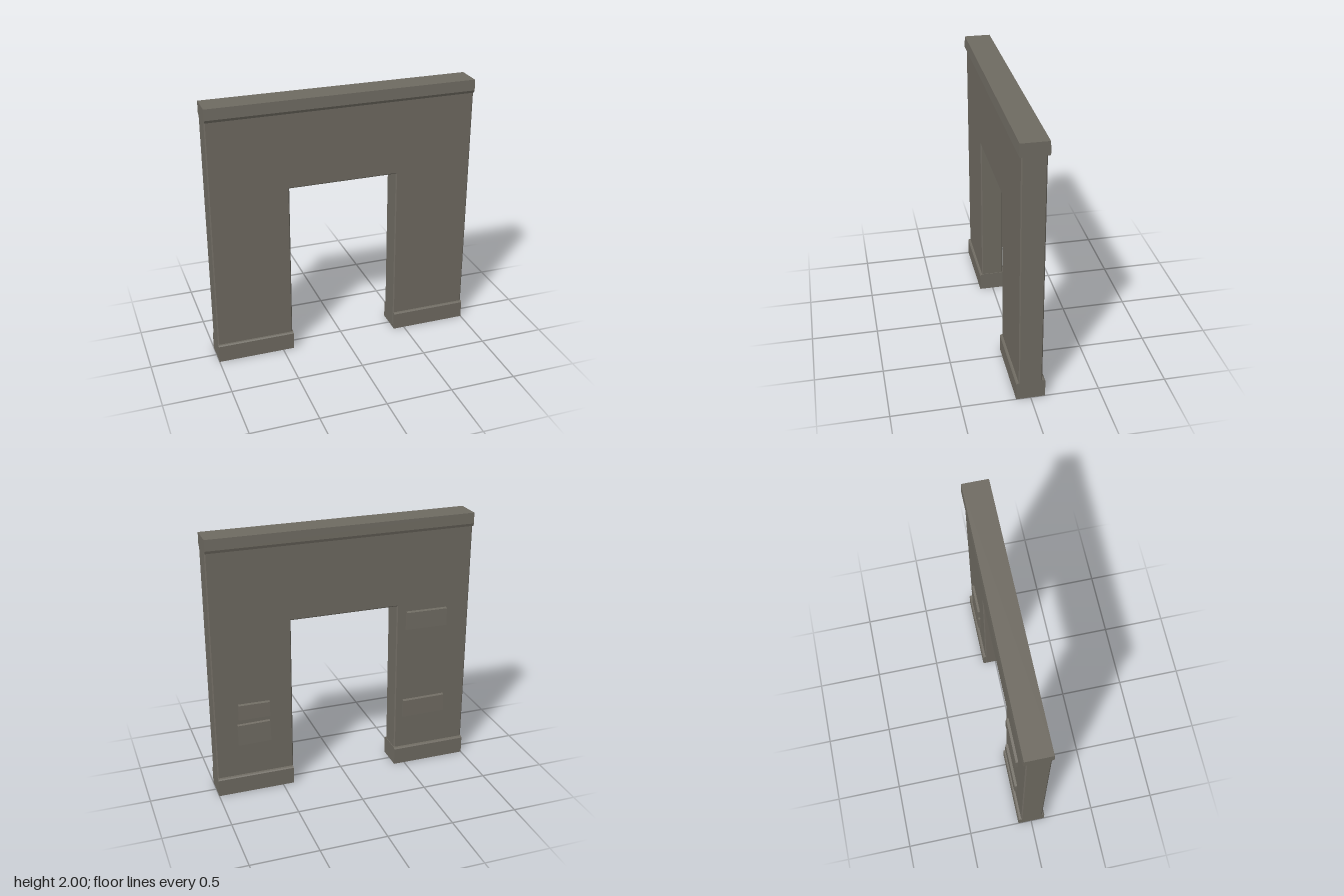
import * as THREE from 'three';

const stone = new THREE.MeshStandardMaterial({ color: 0x6e6a61, flatShading: true });

// Runs a [z, y] profile along x from x0 to x1.
function prism(name, profile, x0, x1) {
  const shape = new THREE.Shape(profile.map(([z, y]) => new THREE.Vector2(z, y)));
  const geo = new THREE.ExtrudeGeometry(shape, { depth: x1 - x0, bevelEnabled: false });
  geo.rotateY(-Math.PI / 2).translate(x1, 0, 0);
  const mesh = new THREE.Mesh(geo, stone);
  mesh.name = name;
  return mesh;
}

export function createModel() {
  const group = new THREE.Group();
  group.name = 'doorwayWall';

  // Wall slab with the doorway, thin chamfer on its edges
  const outline = [[-1, 0.02], [-0.42, 0.02], [-0.415, 1.335], [0.405, 1.335],
    [0.412, 0.02], [1, 0.02], [1, 1.95], [-1, 1.95]];
  const chamfer = 0.008;
  const wallGeo = new THREE.ExtrudeGeometry(
    new THREE.Shape(outline.map(([x, y]) => new THREE.Vector2(x, y))),
    { depth: 0.17 - 2 * chamfer, bevelSize: chamfer, bevelThickness: chamfer, bevelOffset: -chamfer, bevelSegments: 1 });
  wallGeo.translate(0, 0, -0.083 + chamfer);
  const wall = new THREE.Mesh(wallGeo, stone);
  wall.name = 'wall';
  group.add(wall);

  // Cap moulding, flaring slightly towards its lower edge
  group.add(prism('cap', [[-0.08, 1.905], [-0.096, 1.9], [-0.103, 1.92], [-0.098, 2],
    [0.098, 2], [0.104, 1.92], [0.094, 1.9], [0.08, 1.905]], -1, 1));

  // Plinths at the foot of each pier
  const plinth = [[-0.105, 0], [-0.105, 0.13], [-0.098, 0.138], [-0.08, 0.142],
    [0.08, 0.142], [0.098, 0.138], [0.105, 0.13], [0.105, 0]];
  group.add(prism('rightPlinth', plinth, -1, -0.415));
  group.add(prism('leftPlinth', plinth, 0.415, 1));

  // Raised bricks on the back: x0, x1, y0, y1, tilt
  const bricks = [
    [0.585, 0.82, 0.605, 0.735, 0.012],
    [0.585, 0.83, 0.4, 0.575, -0.015],
    [-0.815, -0.49, 1.14, 1.29, 0.01],
    [-0.82, -0.48, 0.41, 0.56, -0.008],
  ];
  for (const [x0, x1, y0, y1, tilt] of bricks) {
    const face = [[-0.07, y0], [-0.106, y0 + 0.005], [-0.106 + Math.abs(tilt) / 2, y1 - 0.012], [-0.07, y1]];
    const brick = prism('backBrick', face, x0, x1);
    const centre = new THREE.Vector3((x0 + x1) / 2, (y0 + y1) / 2, 0);
    brick.geometry.translate(-centre.x, -centre.y, 0);
    brick.position.copy(centre);
    brick.rotation.z = tilt;
    group.add(brick);
  }
  return group;
}
